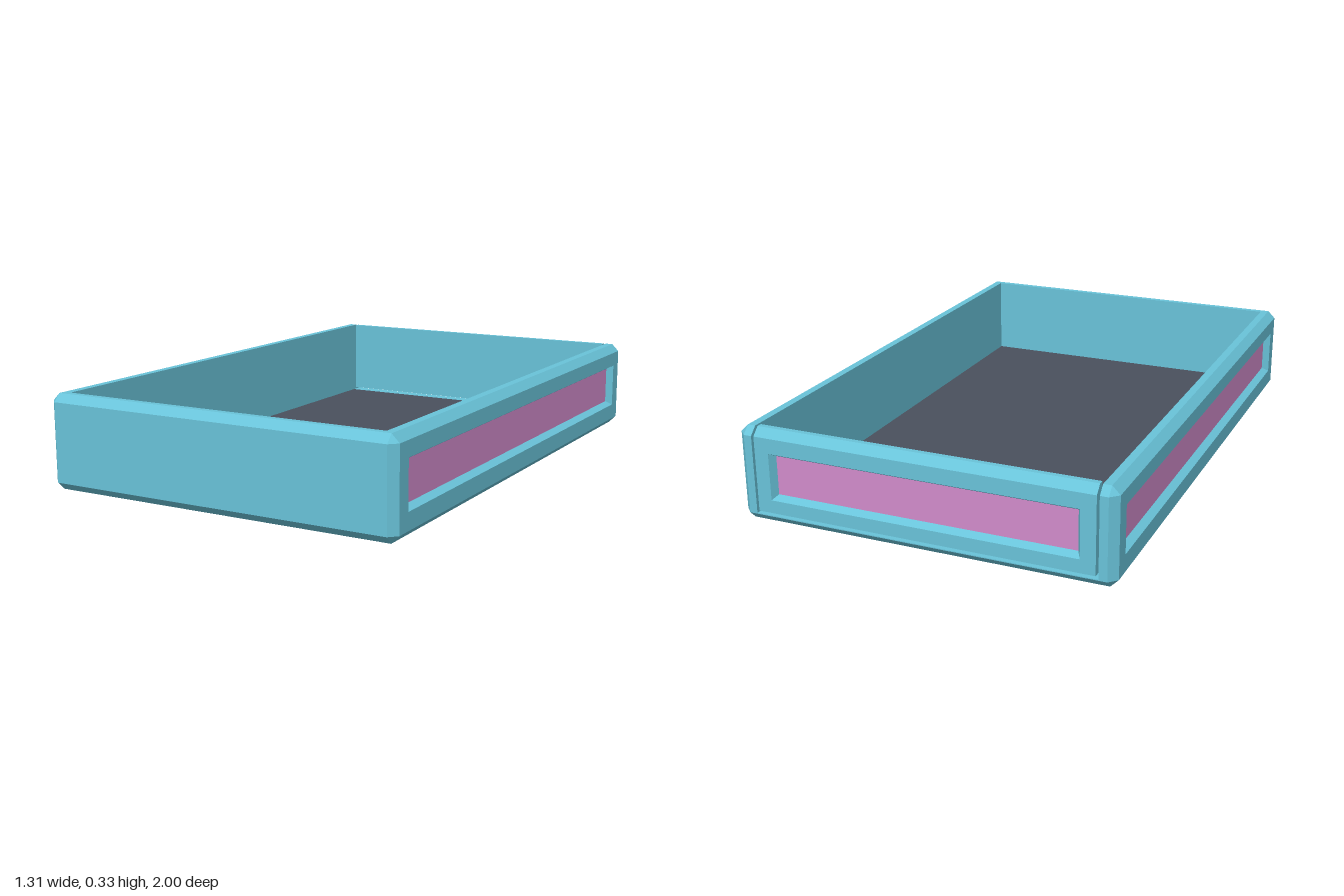
import * as THREE from 'three';

const W = 0.655, D = 1, H = 0.33, C = 0.027;   // half width, half depth, height, chamfer
const IX = 0.6, IZ = 0.95, FLOOR = 0.03;       // inner cavity
const PX = 0.591, PY = 0.04;                   // back panel half width and underside

// Collects flat polygons; each one is turned to face along its hint direction.
function faceSet() {
  const pos = [];
  const add = (hint, ...pts) => {
    const v = pts.map((p) => new THREE.Vector3(...p));
    const n = v[1].clone().sub(v[0]).cross(v[2].clone().sub(v[0]));
    if (n.dot(new THREE.Vector3(...hint)) < 0) v.reverse();
    for (let i = 1; i < v.length - 1; i++) {
      for (const p of [v[0], v[i], v[i + 1]]) pos.push(p.x, p.y, p.z);
    }
  };
  const mesh = (name, material) => {
    const g = new THREE.BufferGeometry();
    g.setAttribute('position', new THREE.Float32BufferAttribute(pos, 3));
    g.computeVertexNormals();
    const m = new THREE.Mesh(g, material);
    m.name = name;
    return m;
  };
  return { add, mesh };
}

// Wall face with a recessed window: flat border, sloped bezel and inlay.
// map(u, v, depth) places a point of the wall in space.
function windowFace(shell, inlay, map, [u, v0, v1], [hu, h0, h1]) {
  const slope = 0.014, depth = 0.025;
  const rect = (a, b0, b1, d) => [[-a, b0, d], [a, b0, d], [a, b1, d], [-a, b1, d]];
  const outer = rect(u, v0, v1, 0);
  const hole = rect(hu, h0, h1, 0);
  const inner = rect(hu - slope, h0 + slope, h1 - slope, depth);
  const dir = (a, b, d) => {
    const p = map(a, b, d), o = map(0, 0, 0);
    return p.map((c, i) => c - o[i]);
  };
  const out = dir(0, 0, -1);
  const towardCentre = [[0, 1], [-1, 0], [0, -1], [1, 0]];
  for (let i = 0; i < 4; i++) {
    const j = (i + 1) % 4;
    const at = (p) => map(...p);
    shell.add(out, at(outer[i]), at(outer[j]), at(hole[j]), at(hole[i]));
    shell.add(dir(...towardCentre[i], 0), at(hole[i]), at(hole[j]), at(inner[j]), at(inner[i]));
  }
  inlay.add(out, ...inner.map((p) => map(...p)));
}

export function createModel() {
  const group = new THREE.Group();
  const teal = new THREE.MeshStandardMaterial({ color: 0x69c3d9 });
  const pink = new THREE.MeshStandardMaterial({ color: 0xd18bcb });
  const slate = new THREE.MeshStandardMaterial({ color: 0x4a505d });
  teal.name = 'teal shell';
  pink.name = 'pink inlay';
  slate.name = 'slate floor';

  const w = W - C, d = D - C, h = H - C;
  const body = faceSet();

  // Underside and its front and back chamfers
  body.add([0, -1, 0], [-w, 0, -d], [w, 0, -d], [w, 0, d], [-w, 0, d]);
  for (const s of [-1, 1]) {
    body.add([0, -1, s], [-w, 0, s * d], [w, 0, s * d], [w, C, s * D], [-w, C, s * D]);
  }

  // Front wall
  body.add([0, 0, 1], [-w, C, D], [w, C, D], [w, h, D], [-w, h, D]);
  body.add([0, 1, 1], [-w, h, D], [w, h, D], [w, H, d], [-w, H, d]);
  body.add([0, 1, 0], [-IX, H, d], [IX, H, d], [IX, H, IZ], [-IX, H, IZ]);
  body.add([0, 0, -1], [-IX, FLOOR, IZ], [IX, FLOOR, IZ], [IX, H, IZ], [-IX, H, IZ]);

  // Sill under the back panel
  body.add([0, 0, -1], [-IX, C, -D], [IX, C, -D], [IX, FLOOR, -D], [-IX, FLOOR, -D]);
  body.add([0, 1, 0], [-IX, FLOOR, -D], [IX, FLOOR, -D], [IX, FLOOR, -IZ], [-IX, FLOOR, -IZ]);

  // Side walls, mirrored
  for (const m of [-1, 1]) {
    const inlay = faceSet();
    windowFace(body, inlay, (u, v, k) => [m * (W - k), v, u], [d, C, h], [0.917, 0.086, 0.25]);
    group.add(inlay.mesh(m > 0 ? 'leftInlay' : 'rightInlay', pink));
    // Bottom and top chamfers, rim
    body.add([m, -1, 0], [m * w, 0, -d], [m * w, 0, d], [m * W, C, d], [m * W, C, -d]);
    body.add([m, 1, 0], [m * w, H, -d], [m * w, H, d], [m * W, h, d], [m * W, h, -d]);
    body.add([0, 1, 0], [m * IX, H, -d], [m * w, H, -d], [m * w, H, d], [m * IX, H, d]);
    // Inner face, running on to the back edge
    body.add([-m, 0, 0], [m * IX, FLOOR, IZ], [m * IX, H, IZ], [m * IX, H, -d],
      [m * IX, h, -D], [m * IX, FLOOR, -D]);
    // Back post
    body.add([0, 0, -1], [m * IX, C, -D], [m * w, C, -D], [m * w, h, -D], [m * IX, h, -D]);
    body.add([0, 1, -1], [m * IX, h, -D], [m * w, h, -D], [m * w, H, -d], [m * IX, H, -d]);
    // Chamfered corners
    for (const s of [-1, 1]) {
      body.add([m, 0, s], [m * W, C, s * d], [m * w, C, s * D], [m * w, h, s * D], [m * W, h, s * d]);
      body.add([m, -1, s], [m * w, 0, s * d], [m * W, C, s * d], [m * w, C, s * D]);
      body.add([m, 1, s], [m * w, H, s * d], [m * W, h, s * d], [m * w, h, s * D]);
    }
  }
  group.add(body.mesh('trayBody', teal));

  // Separate back panel, set between the posts with a narrow gap
  const panel = faceSet(), backInlay = faceSet(), z = -0.955;
  windowFace(panel, backInlay, (u, v, k) => [u, v, -D + k], [PX, PY, h], [0.54, 0.086, 0.25]);
  panel.add([0, 1, -1], [-PX, h, -D], [PX, h, -D], [PX, H, -d], [-PX, H, -d]);
  panel.add([0, 1, 0], [-PX, H, -d], [PX, H, -d], [PX, H, z], [-PX, H, z]);
  panel.add([0, 0, 1], [-PX, PY, z], [PX, PY, z], [PX, H, z], [-PX, H, z]);
  panel.add([0, -1, 0], [-PX, PY, -D], [PX, PY, -D], [PX, PY, z], [-PX, PY, z]);
  for (const m of [-1, 1]) {
    panel.add([m, 0, 0], [m * PX, PY, -D], [m * PX, h, -D], [m * PX, H, -d],
      [m * PX, H, z], [m * PX, PY, z]);
  }
  group.add(panel.mesh('backPanel', teal), backInlay.mesh('backInlay', pink));

  // Floor lining
  const floor = faceSet();
  floor.add([0, 1, 0], [-IX, FLOOR, -IZ], [IX, FLOOR, -IZ], [IX, FLOOR, IZ], [-IX, FLOOR, IZ]);
  group.add(floor.mesh('floor', slate));

  return group;
}
